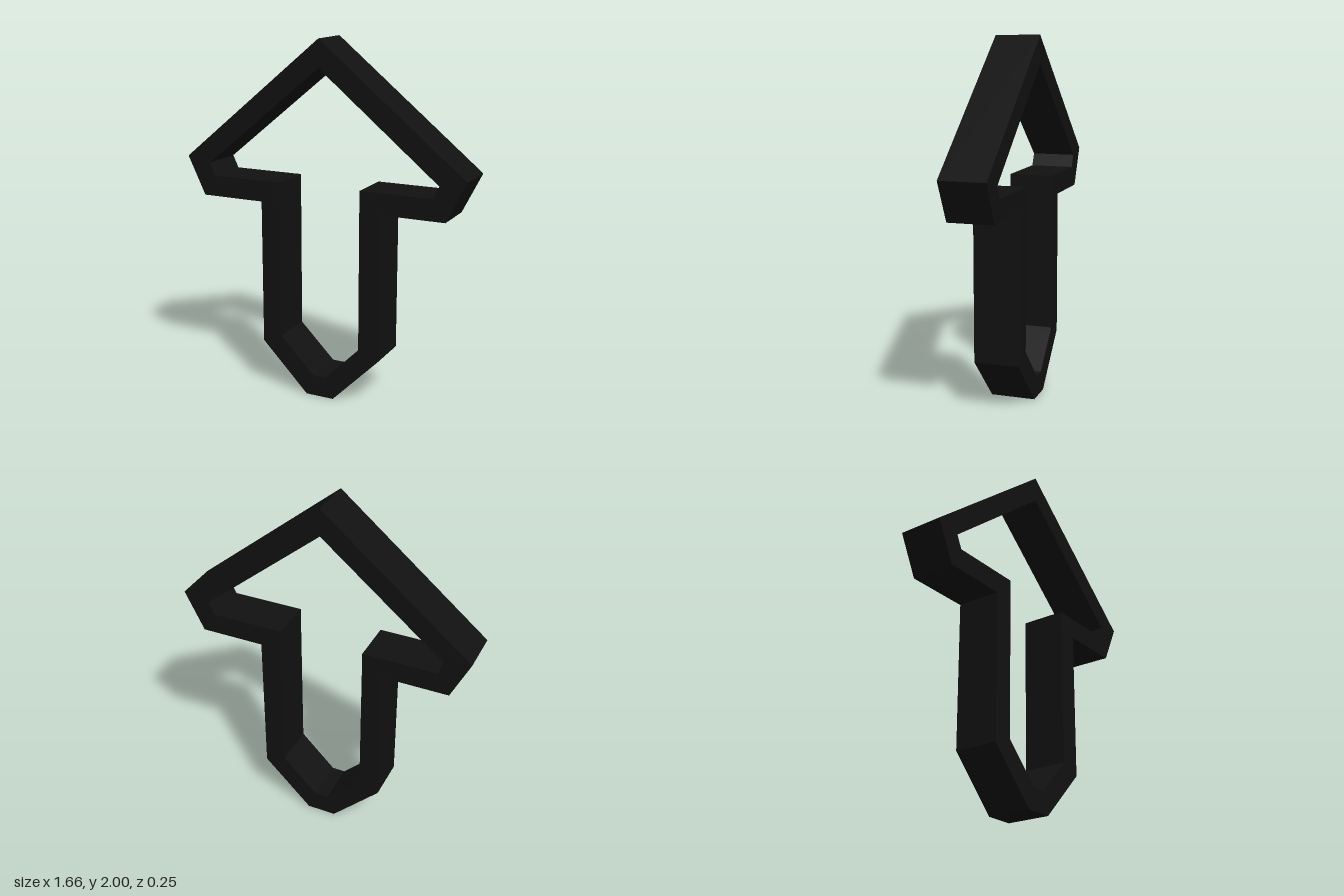
import * as THREE from 'three';

const toPoints = (pairs) => pairs.map(([x, y]) => new THREE.Vector2(x, y));

export function createModel() {
  const group = new THREE.Group();
  group.name = 'arrowFrame';
  const depth = 0.25;

  // Outer edge: tip, right barb, shaft, chamfered foot, left barb
  const outline = new THREE.Shape(toPoints([
    [0, 2], [-0.83, 1.315], [-0.725, 1.097], [-0.355, 1.097], [-0.355, 0.277], [-0.08, 0],
    [0.085, 0], [0.36, 0.277], [0.36, 1.102], [0.72, 1.102], [0.83, 1.322],
  ]));

  // Opening that leaves an even wall all round
  outline.holes.push(new THREE.Path(toPoints([
    [0, 1.848], [0.682, 1.288], [0.648, 1.22], [0.24, 1.22], [0.24, 0.323], [0.04, 0.12],
    [-0.035, 0.12], [-0.24, 0.323], [-0.24, 1.215], [-0.655, 1.215], [-0.688, 1.285],
  ])));

  const geometry = new THREE.ExtrudeGeometry(outline, { depth, bevelEnabled: false });
  geometry.translate(0, 0, -depth / 2);

  const frame = new THREE.Mesh(
    geometry,
    new THREE.MeshStandardMaterial({ color: 0x111111 }),
  );
  frame.name = 'arrowOutline';
  group.add(frame);
  return group;
}
